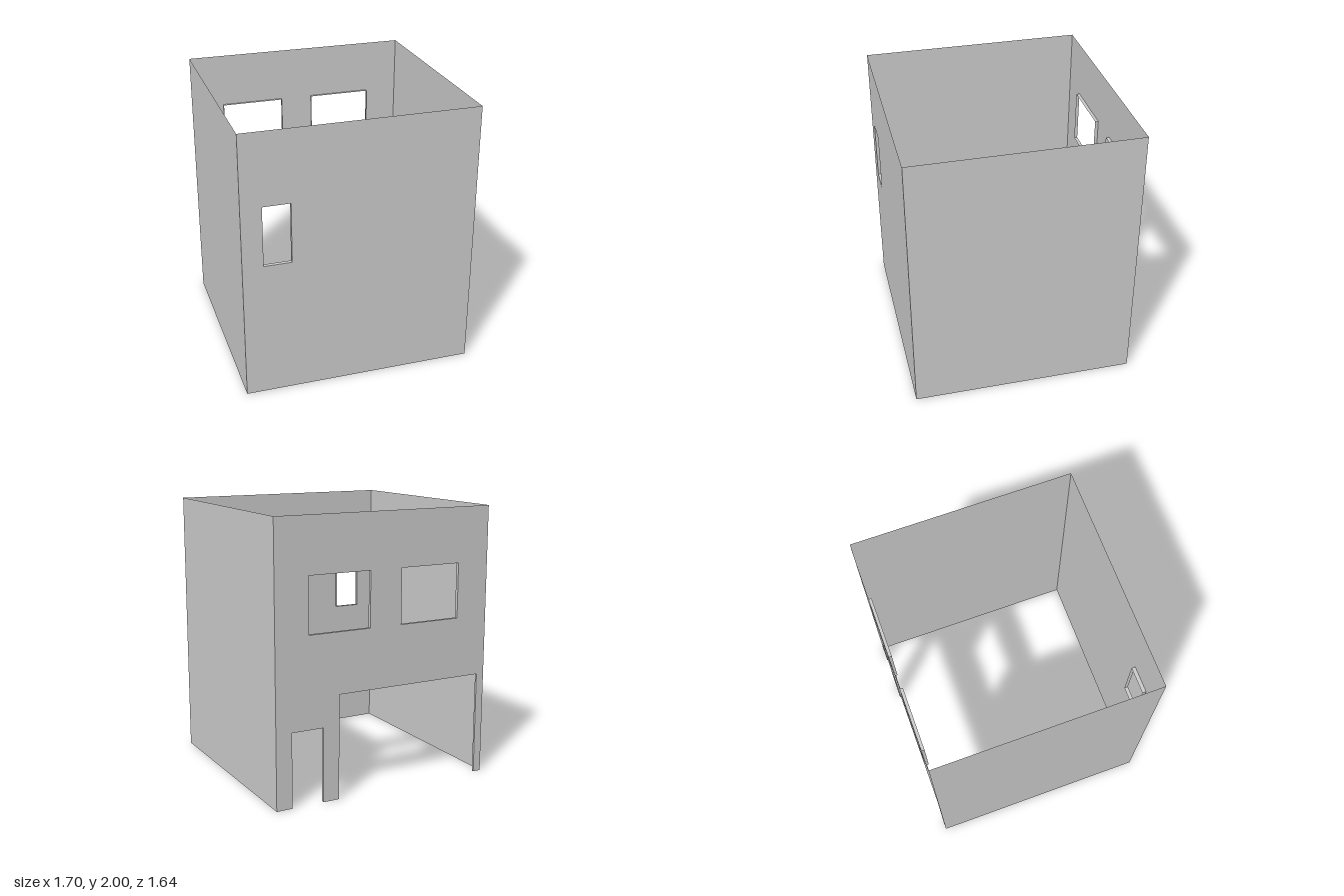
import * as THREE from 'three';

const W = 0.85, D = 0.82, H = 2;
const material = new THREE.MeshStandardMaterial({ color: 0xcccccc, flatShading: true, side: THREE.DoubleSide });

// Openings as x and y ranges, with the depth of the lining behind the wall
const backOpenings = [
  { name: 'leftWindow', x0: 0.125, x1: 0.6, y0: 1.2, y1: 1.6, depth: 0.025 },
  { name: 'rightWindow', x0: -0.6, x1: -0.125, y0: 1.2, y1: 1.6, depth: 0.025 },
  { name: 'door', x0: 0.49, x1: 0.73, y0: 0, y1: 0.54, depth: 0.025 },
  { name: 'garageOpening', x0: -0.79, x1: 0.367, y0: 0, y1: 0.76, depth: 0.017 },
];
const frontOpenings = [
  { name: 'frontWindow', x0: -0.7, x1: -0.5, y0: 1.02, y1: 1.465, depth: 0.028 },
];

function addMesh(parent, name, geometry) {
  const mesh = new THREE.Mesh(geometry, material);
  mesh.name = name;
  parent.add(mesh);
  return mesh;
}

// Sheet wall: openings on the floor notch the outline, the others are holes
function wallShape(openings) {
  const points = [[-W, 0]];
  const holes = [];
  for (const o of [...openings].sort((a, b) => a.x0 - b.x0)) {
    const corners = [[o.x0, o.y0], [o.x0, o.y1], [o.x1, o.y1], [o.x1, o.y0]];
    if (o.y0 === 0) points.push(...corners);
    else holes.push(new THREE.Path(corners.map((c) => new THREE.Vector2(...c))));
  }
  points.push([W, 0], [W, H], [-W, H]);
  const shape = new THREE.Shape(points.map((p) => new THREE.Vector2(...p)));
  shape.holes = holes;
  return shape;
}

// Thin lining running inward from the edges of an opening
function addLining(parent, o, z, inward) {
  const group = new THREE.Group();
  group.name = o.name + 'Lining';
  const w = o.x1 - o.x0, h = o.y1 - o.y0;
  const cx = (o.x0 + o.x1) / 2, cy = (o.y0 + o.y1) / 2, cz = z + inward * o.depth / 2;
  for (const [x, side] of [[o.x0, 'rightJamb'], [o.x1, 'leftJamb']]) {
    const jamb = new THREE.PlaneGeometry(o.depth, h).rotateY(x === o.x0 ? Math.PI / 2 : -Math.PI / 2);
    addMesh(group, side, jamb.translate(x, cy, cz));
  }
  addMesh(group, 'lintel', new THREE.PlaneGeometry(w, o.depth).rotateX(Math.PI / 2).translate(cx, o.y1, cz));
  if (o.y0 > 0) {
    addMesh(group, 'sill', new THREE.PlaneGeometry(w, o.depth).rotateX(-Math.PI / 2).translate(cx, o.y0, cz));
  }
  parent.add(group);
}

export function createModel() {
  const house = new THREE.Group();
  house.name = 'houseWalls';

  // Front and back walls with their openings
  for (const [name, openings, z] of [['frontWall', frontOpenings, D], ['backWall', backOpenings, -D]]) {
    addMesh(house, name, new THREE.ShapeGeometry(wallShape(openings))).position.z = z;
    for (const o of openings) addLining(house, o, z, -Math.sign(z));
  }

  // Plain side walls
  for (const s of [1, -1]) {
    const side = new THREE.PlaneGeometry(2 * D, H).rotateY(s * Math.PI / 2);
    addMesh(house, s > 0 ? 'leftWall' : 'rightWall', side.translate(s * W, H / 2, 0));
  }
  return house;
}
